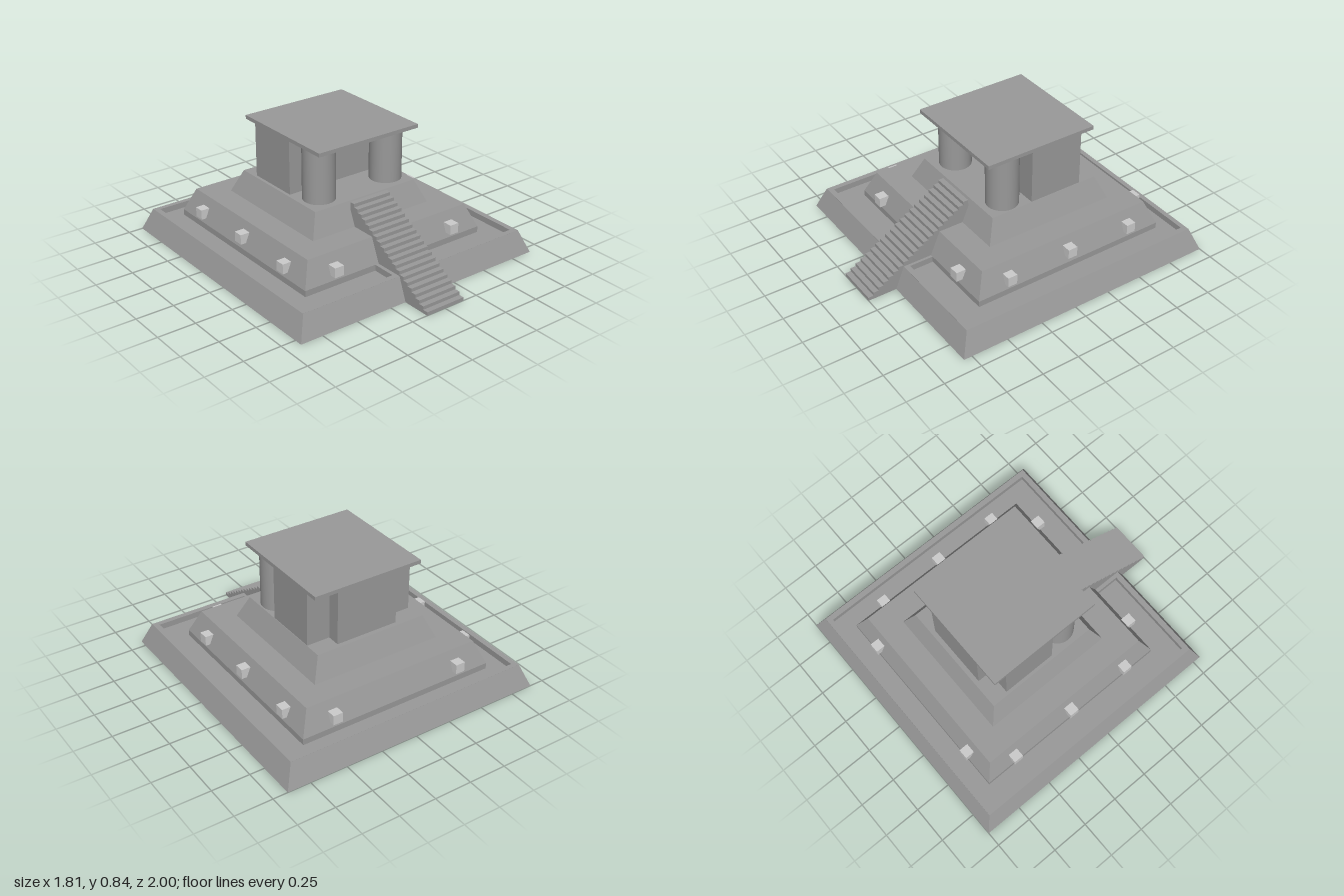
import * as THREE from 'three';

const stone = new THREE.MeshStandardMaterial({ color: 0x999999, flatShading: true });
const smoothStone = new THREE.MeshStandardMaterial({ color: 0x999999 });
const paleStone = new THREE.MeshStandardMaterial({ color: 0xcccccc, flatShading: true });

export function createModel() {
  const group = new THREE.Group();

  const add = (name, geometry, x = 0, y = 0, z = 0, material = stone) => {
    const mesh = new THREE.Mesh(geometry, material);
    mesh.name = name;
    mesh.position.set(x, y, z);
    group.add(mesh);
    return mesh;
  };

  // Box given by its limits on each axis
  const box = (name, x0, x1, y0, y1, z0, z1) =>
    add(name, new THREE.BoxGeometry(x1 - x0, y1 - y0, z1 - z0),
      (x0 + x1) / 2, (y0 + y1) / 2, (z0 + z1) / 2);

  // Square tier with sloping sides, from half-widths at the bottom and top
  const tier = (name, bottom, top, y0, y1, x, z, open = false) => {
    const g = new THREE.CylinderGeometry(top * Math.SQRT2, bottom * Math.SQRT2, y1 - y0, 4, 1, open, Math.PI / 4);
    return add(name, g, x, (y0 + y1) / 2, z);
  };

  const polygon = (points, Type) => new Type(points.map(([x, z]) => new THREE.Vector2(x, -z)));

  // Stepped platform
  const floorY = 0.11;
  tier('baseSides', 0.903, 0.843, 0, 0.15, 0, -0.0975, true);
  tier('middleTier', 0.681, 0.615, 0.15, 0.305, -0.004, -0.132);
  tier('upperTier', 0.451, 0.387, 0.305, 0.455, -0.004, -0.136);

  // Underside and channel floor
  box('baseCore', -0.843, 0.843, 0.002, floorY, -0.94, 0.745);
  const underside = add('underside', new THREE.PlaneGeometry(1.806, 1.806), 0, 0, -0.0975);
  underside.rotation.x = Math.PI / 2;

  // Base top with a sunken channel that stops at the stairs
  const deck = polygon([[-0.843, 0.745], [0.843, 0.745], [0.843, -0.94], [-0.843, -0.94]], THREE.Shape);
  deck.holes.push(polygon([
    [0.164, 0.71], [0.806, 0.71], [0.806, -0.908], [-0.808, -0.908], [-0.808, 0.71], [-0.164, 0.71],
    [-0.164, 0.549], [-0.685, 0.549], [-0.685, -0.813], [0.677, -0.813], [0.677, 0.549], [0.164, 0.549],
  ], THREE.Path));
  const deckGeometry = new THREE.ExtrudeGeometry(deck, { depth: 0.15 - floorY, bevelEnabled: false });
  add('baseTop', deckGeometry.rotateX(-Math.PI / 2), 0, floorY, 0);

  // Solid staircase, extruded from its stepped side profile
  const steps = 20, zStart = 1, zEnd = 0.27, rise = 0.455 / steps, run = (zStart - zEnd) / steps;
  const profile = new THREE.Shape();
  profile.moveTo(-zStart, 0);
  for (let i = 0; i < steps; i++) {
    profile.lineTo(-zStart + i * run, (i + 1) * rise);
    profile.lineTo(-zStart + (i + 1) * run, (i + 1) * rise);
  }
  profile.lineTo(-zEnd, 0);
  const stairs = new THREE.ExtrudeGeometry(profile, { depth: 0.285, bevelEnabled: false });
  add('stairs', stairs.rotateY(Math.PI / 2), -0.139, 0, 0);

  // Temple: chamber, rear projection, two columns and a flat roof
  box('chamber', -0.37, 0.38, 0.455, 0.817, -0.405, -0.04);
  box('rearWall', -0.207, 0.222, 0.455, 0.817, -0.493, -0.405);
  for (const x of [-0.253, 0.27])
    add('column', new THREE.CylinderGeometry(0.105, 0.105, 0.362, 32), x, 0.636, 0.104, smoothStone);
  box('roof', -0.379, 0.383, 0.817, 0.842, -0.497, 0.279);

  // Pale stone blocks set into the slopes of the middle tier
  const block = new THREE.BoxGeometry(0.065, 0.065, 0.065);
  const addBlock = (x, y, z) => add('stoneBlock', block, x, y, z, paleStone);
  for (const x of [-0.457, 0.448])
    for (const z of [0.545, -0.801]) addBlock(x, 0.213, z);
  for (const x of [-0.672, 0.662])
    for (const [z, y] of [[0.32, 0.213], [-0.128, 0.223], [-0.586, 0.213]]) addBlock(x, y, z);

  return group;
}
